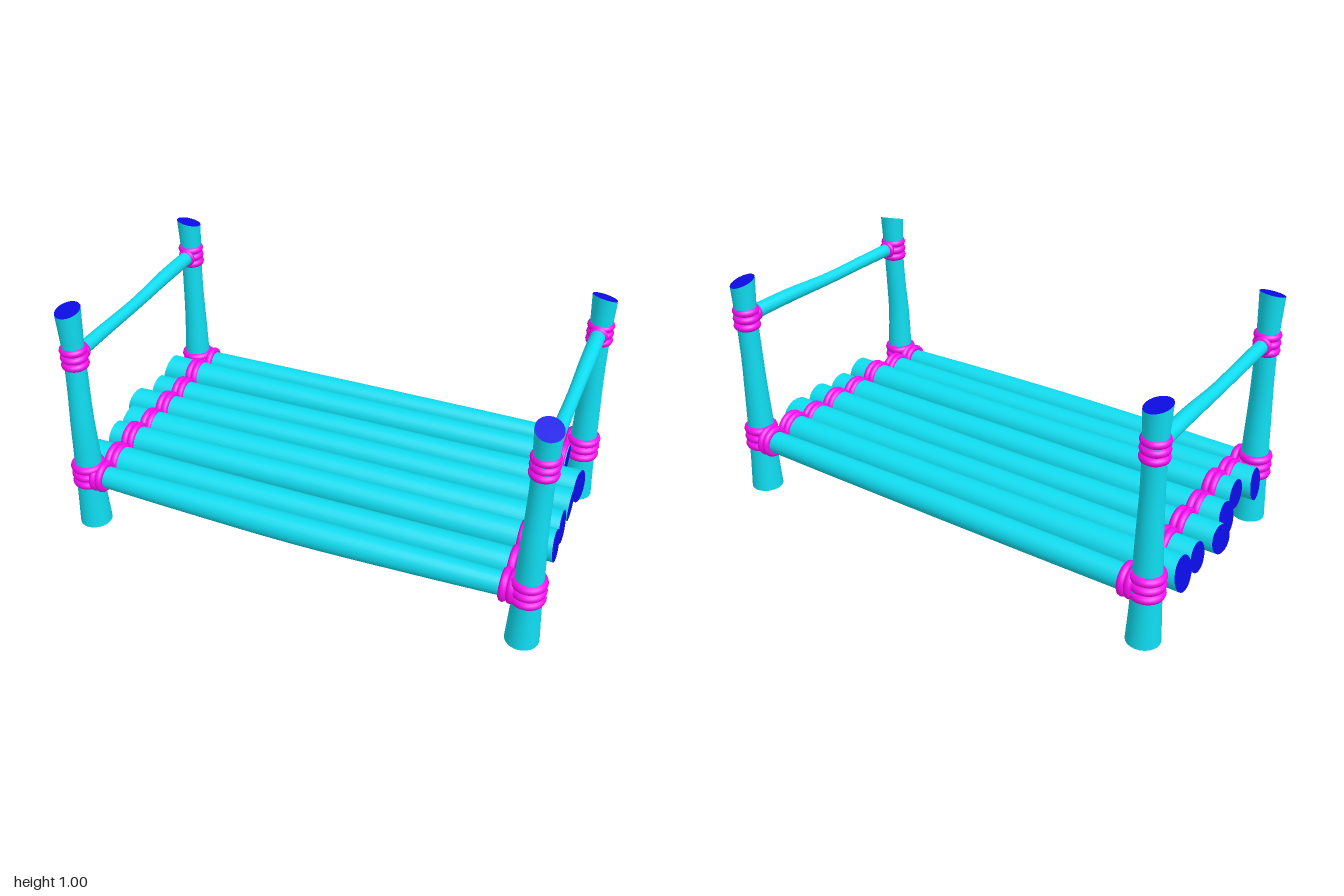
import * as THREE from 'three';
import { mergeVertices } from 'three/addons/utils/BufferGeometryUtils.js';

const bark = new THREE.MeshStandardMaterial({ color: 0x0fdcf0 });
const cutWood = new THREE.MeshStandardMaterial({ color: 0x0c0ce6 });
const rope = new THREE.MeshStandardMaterial({ color: 0xf80cf0 });

// Smooth interpolation through evenly spaced key values
function keyed(keys) {
  const curve = new THREE.CatmullRomCurve3(
    keys.map(([u, v, r]) => new THREE.Vector3(u, v, r)), false, 'catmullrom', 0.5);
  return t => curve.getPoint(t);
}

// A bent, tapering pole along local y. Keys are [offsetX, offsetZ, radius];
// slants tilt the sawn end faces as [dy/dx, dy/dz].
function pole(name, y0, y1, keys, slant0 = [0, 0], slant1 = [0, 0]) {
  const at = keyed(keys), sides = 24, group = new THREE.Group();
  group.name = name;
  const place = (px, pz, t) => {
    const c = at(t), x = px * c.z, z = pz * c.z;
    const low = y0 + slant0[0] * x + slant0[1] * z;
    const high = y1 + slant1[0] * x + slant1[1] * z;
    return [c.x + x, low + (high - low) * t, c.y + z];
  };
  let side = new THREE.CylinderGeometry(1, 1, 1, sides, 16, true);
  let p = side.attributes.position;
  for (let i = 0; i < p.count; i++)
    p.setXYZ(i, ...place(p.getX(i), p.getZ(i), p.getY(i) + 0.5));
  side.deleteAttribute('uv');
  side.deleteAttribute('normal');
  side = mergeVertices(side);
  side.computeVertexNormals();
  const body = new THREE.Mesh(side, bark);
  body.name = name + 'Bark';
  group.add(body);
  for (const t of [0, 1]) {
    const cap = new THREE.CircleGeometry(1, sides).rotateX(t ? -Math.PI / 2 : Math.PI / 2);
    p = cap.attributes.position;
    for (let i = 0; i < p.count; i++) p.setXYZ(i, ...place(p.getX(i), p.getZ(i), t));
    cap.computeVertexNormals();
    const end = new THREE.Mesh(cap, cutWood);
    end.name = name + 'CutEnd';
    group.add(end);
  }
  return group;
}

// One loop of rope around the given axis, sized by its outer radius
function loop(name, axis, x, y, z, outer, tube) {
  const mesh = new THREE.Mesh(new THREE.TorusGeometry(outer - tube, tube, 10, 28), rope);
  if (axis === 'y') mesh.rotation.x = Math.PI / 2;
  if (axis === 'x') mesh.rotation.y = Math.PI / 2;
  mesh.position.set(x, y, z);
  mesh.name = name;
  return mesh;
}

export function createModel() {
  const model = new THREE.Group();
  model.name = 'logBed';

  // Corner posts: x, z, height, slant of the top, lean of the upper part
  const posts = [
    ['frontLeftPost', 0.927, 0.47, 0.928, [-0.12, -0.35], [0, -0.013]],
    ['backLeftPost', 0.927, -0.465, 0.94, [-0.2, 0.3], [0, -0.008]],
    ['frontRightPost', -0.887, 0.47, 0.985, [0.1, -0.25], [0.005, -0.01]],
    ['backRightPost', -0.887, -0.465, 0.94, [-0.2, 0.2], [0.003, -0.008]],
  ];
  for (const [name, x, z, height, slant, [lx, lz]] of posts) {
    const s = Math.sign(z);
    const post = pole(name, 0, height, [
      [0, 0, 0.065], [0, 0, 0.057], [lx / 2, 0, 0.053], [lx, s * 0.003, 0.047],
      [lx, lz / 2, 0.043], [lx, lz, 0.043], [lx, lz, 0.05],
    ], [0, 0], slant);
    post.position.set(x, 0, z);
    model.add(post);
    // Lashings where the side logs and end rails meet the post
    for (const dy of [-0.036, 0, 0.036]) {
      model.add(loop('lowerPostLashing', 'y', x, 0.247 + dy, z, 0.069, 0.019));
      model.add(loop('upperPostLashing', 'y', x + lx, 0.786 + dy * 0.88, z + lz, 0.054, 0.017));
    }
  }

  // Bed logs: z, y, start x, end x, radii (start, middle, end),
  // middle bow [down, z], end slants [per -y, per z]
  const logs = [
    [0.468, 0.237, -0.88, 0.925, 0.043, 0.056, 0.043, [0.005, 0.006], [0, 0], [0, 0]],
    [0.345, 0.23, -0.945, 0.89, 0.064, 0.058, 0.06, [0, 0], [-0.15, 0.1], [0, 0]],
    [0.21, 0.247, -0.92, 0.967, 0.06, 0.058, 0.063, [0, -0.006], [-0.08, 0], [0.1, 0]],
    [0.068, 0.225, -0.945, 0.962, 0.066, 0.06, 0.066, [-0.008, 0], [-0.2, 0], [0.08, 0]],
    [-0.07, 0.23, -0.985, 0.965, 0.058, 0.058, 0.066, [0, -0.008], [-0.15, -0.15], [0, 0]],
    [-0.208, 0.222, -0.957, 0.97, 0.058, 0.056, 0.067, [-0.008, 0], [-0.15, 0], [0.1, -0.15]],
    [-0.345, 0.24, -0.965, 0.89, 0.066, 0.058, 0.06, [0, 0], [-0.2, 0], [0, 0]],
    [-0.475, 0.24, -0.88, 0.925, 0.047, 0.05, 0.045, [0, 0.002], [0, 0], [0, 0]],
  ];
  logs.forEach(([z, y, x0, x1, r0, rm, r1, [bu, bv], s0, s1], i) => {
    const name = i === 0 ? 'frontSideLog' : i === 7 ? 'backSideLog' : 'bedLog';
    const log = pole(name, x0, x1, [
      [0, 0, r0], [bu / 2, bv / 2, r0 * 0.3 + rm * 0.7], [bu, bv, rm],
      [bu / 2, bv / 2, r1 * 0.3 + rm * 0.7], [0, 0, r1],
    ], s0, s1);
    log.rotation.z = -Math.PI / 2;
    log.position.set(0, y, z);
    model.add(log);
    // A double loop of rope near each end
    for (const x of [-0.843, -0.815, 0.844, 0.872])
      model.add(loop('logLashing', 'x', x, y, z, i % 7 ? 0.075 : 0.066, 0.015));
  });

  // Thin rails joining the posts at both ends
  for (const [name, x, y] of [['leftRail', 0.927, 0.792], ['rightRail', -0.882, 0.788]]) {
    const rail = pole(name, -0.46, 0.46, [
      [0, 0, 0.03], [0, -0.002, 0.029], [0, 0.005, 0.025], [0, 0.002, 0.026], [0, 0, 0.028],
    ]);
    rail.rotation.x = Math.PI / 2;
    rail.position.set(x, y, 0);
    model.add(rail);
    for (const z of [0.41, -0.426])
      model.add(loop('railLashing', 'z', x, y, z, 0.038, 0.012));
  }
  return model;
}
